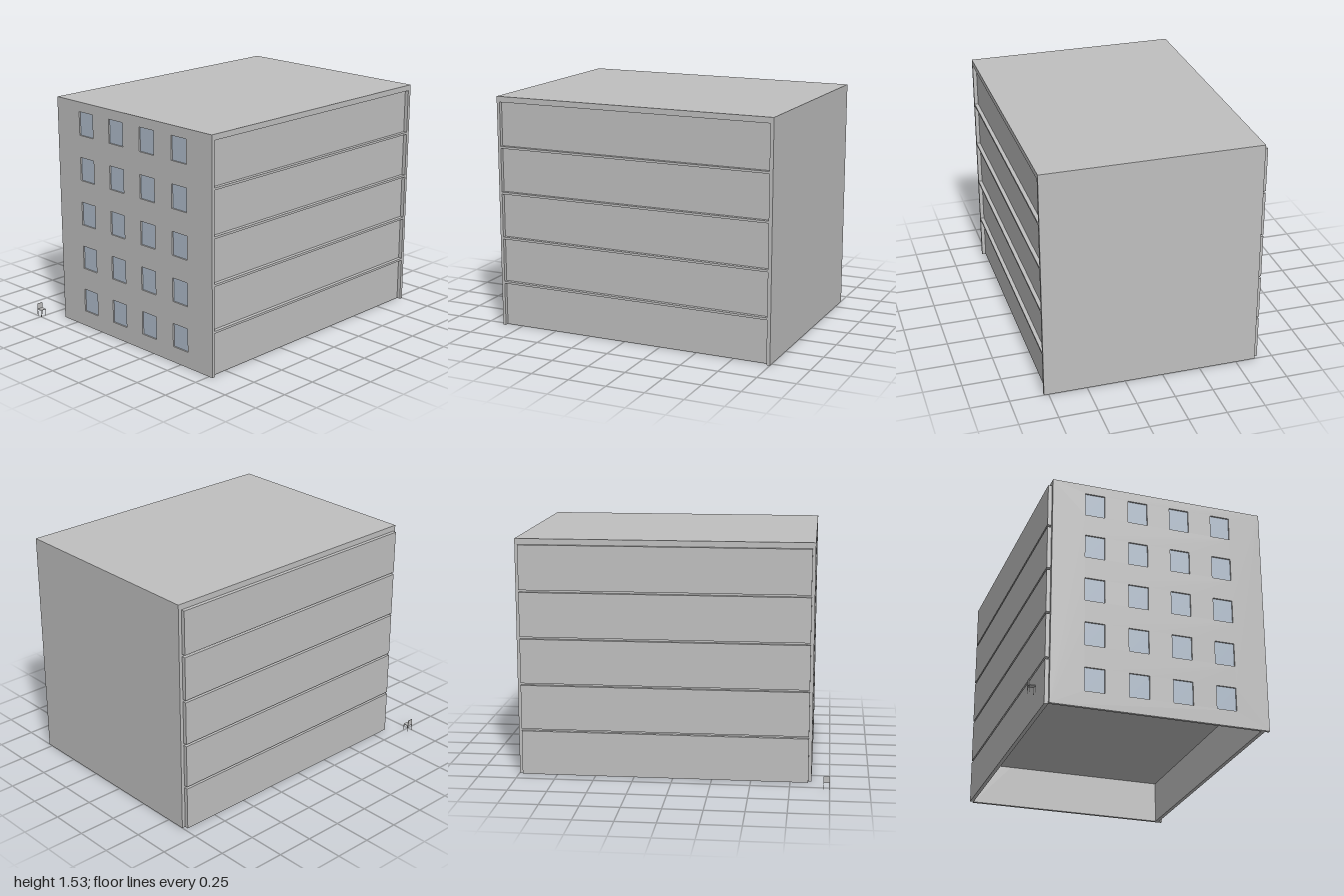
import * as THREE from 'three';

const concrete = new THREE.MeshStandardMaterial({ color: 0xbfbfbf });
concrete.name = 'concrete grey';
const glass = new THREE.MeshStandardMaterial({ color: 0xaebbca });
glass.name = 'window blue';

// Outer extents of the building shell
const X0 = -0.63, X1 = 0.78, Z0 = -1, Z1 = 0.885, TOP = 1.53;
const FRONT_IN = 0.865, BACK_IN = -0.977;
const FLOORS = 5, STEP = 0.3015, ROOM = 0.287;
const WINDOW_X = [-0.35, -0.066, 0.216, 0.5], WIN_W = 0.13, WIN_H = 0.155, WIN_Y = 0.105;

// Box given by its minimum and maximum corners
function box(parent, name, [ax, ay, az], [bx, by, bz], material = concrete) {
  const mesh = new THREE.Mesh(new THREE.BoxGeometry(bx - ax, by - ay, bz - az), material);
  mesh.position.set((ax + bx) / 2, (ay + by) / 2, (az + bz) / 2);
  mesh.name = name;
  parent.add(mesh);
  return mesh;
}

function rectangle(path, x0, y0, x1, y1) {
  path.moveTo(x0, y0);
  path.lineTo(x1, y0);
  path.lineTo(x1, y1);
  path.lineTo(x0, y1);
  path.closePath();
  return path;
}

// Front wall with window openings, and the panes set into them
function frontWall() {
  const group = new THREE.Group();
  group.name = 'frontFacade';
  const shape = rectangle(new THREE.Shape(), X0, 0, X1, TOP);
  for (let f = 0; f < FLOORS; f++) {
    for (const x of WINDOW_X) {
      const y = WIN_Y + f * STEP;
      const l = x - WIN_W / 2, r = x + WIN_W / 2;
      shape.holes.push(rectangle(new THREE.Path(), l, y, r, y + WIN_H));
      box(group, 'windowPane', [l, y, FRONT_IN + 0.001], [r, y + WIN_H, Z1 - 0.01], glass);
    }
  }
  const wall = new THREE.Mesh(
    new THREE.ExtrudeGeometry(shape, { depth: Z1 - FRONT_IN, bevelEnabled: false }), concrete);
  wall.position.z = FRONT_IN;
  wall.name = 'frontWall';
  group.add(wall);
  return group;
}

// Small chair standing outside, its back towards -x
function chair() {
  const group = new THREE.Group();
  group.name = 'chair';
  const x0 = -0.785, x1 = -0.745, z0 = 0.96, z1 = 1, t = 0.003;
  box(group, 'seat', [x0, 0.044, z0], [x1, 0.048, z1]);
  box(group, 'backrest', [x0, 0.048, z0], [x0 + t, 0.086, z1]);
  for (const x of [x0, x1 - t])
    for (const z of [z0, z1 - t])
      box(group, 'chairLeg', [x, 0, z], [x + t, 0.044, z + t]);
  return group;
}

export function createModel() {
  const model = new THREE.Group();
  model.name = 'apartmentBlock';

  model.add(frontWall());
  box(model, 'backWall', [X0, 0, Z0], [X1, TOP, BACK_IN]);

  // Each storey: side panels shifted towards -x, with a slab or the roof above
  for (let f = 0; f < FLOORS; f++) {
    const y = f * STEP, ceiling = y + ROOM;
    box(model, 'outerSidePanel', [-0.655, y, BACK_IN], [X0, ceiling, FRONT_IN]);
    box(model, 'recessedSidePanel', [0.73, y, BACK_IN], [0.755, ceiling, FRONT_IN]);
    const last = f === FLOORS - 1;
    box(model, last ? 'roof' : 'floorSlab', [X0, ceiling, BACK_IN],
      [X1, last ? TOP : y + STEP, FRONT_IN]);
  }

  model.add(chair());
  return model;
}
